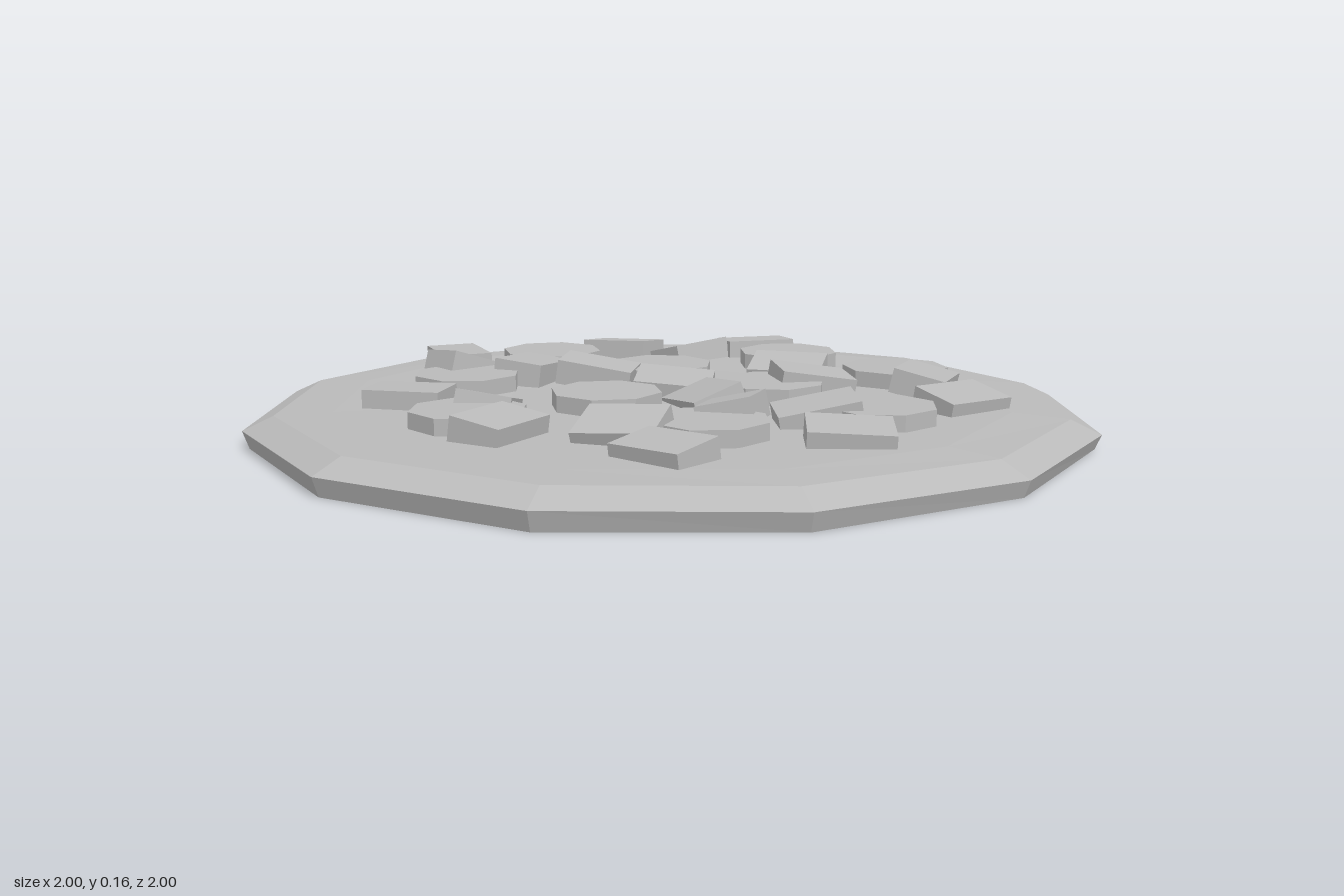
import * as THREE from 'three';

export function createModel() {
  const model = new THREE.Group();
  const grey = new THREE.MeshStandardMaterial({ color: 0xbababa, flatShading: true });
  grey.name = 'plain grey';

  const UP = new THREE.Vector3(0, 1, 0);

  // Places a part by the centre of its top face, a yaw in degrees and a slope (rise along x and z)
  function place(name, geometry, x, y, z, yaw, gx = 0, gz = 0) {
    const mesh = new THREE.Mesh(geometry, grey);
    mesh.name = name;
    const normal = new THREE.Vector3(-gx, 1, -gz).normalize();
    mesh.quaternion.setFromUnitVectors(UP, normal)
      .multiply(new THREE.Quaternion().setFromAxisAngle(UP, THREE.MathUtils.degToRad(yaw)));
    mesh.position.set(x, y, z);
    model.add(mesh);
  }

  // Twelve-sided base with a slightly uneven rim
  const profile = [[0, 0], [0.985, 0], [1, 0.036], [0.93, 0.068], [0.8, 0.075], [0.4, 0.073], [0, 0.072]];
  const base = new THREE.LatheGeometry(profile.map(([r, y]) => new THREE.Vector2(r, y)), 12);
  const p = base.attributes.position;
  for (let i = 0; i < p.count; i++) {
    const x = p.getX(i), y = p.getY(i), z = p.getZ(i);
    if (y > 0.01 && Math.hypot(x, z) > 0.85) {
      const lean = (x - z) / Math.SQRT2;
      p.setY(i, y - 0.008 * lean);
    }
  }
  const baseMesh = new THREE.Mesh(base, grey);
  baseMesh.name = 'base';
  model.add(baseMesh);

  // Round eight-sided slices: x, z, yaw
  const slice = new THREE.CylinderGeometry(0.132, 0.132, 0.06, 8).translate(0, -0.03, 0);
  [
    [-0.19, -0.55, 22], [-0.46, -0.24, 10], [0.04, -0.26, 3], [0.42, -0.37, 12], [0.6, -0.06, 20],
    [0.23, 0.06, 0], [-0.18, 0.085, 18], [-0.52, 0.22, 5], [-0.04, 0.465, 10], [0.365, 0.41, 3],
  ].forEach(([x, z, yaw]) => place('roundSlice', slice, x, 0.112, z, yaw));

  // Tumbled rectangular chunks: x, z, top height, yaw, slope x, slope z
  const chunk = new THREE.BoxGeometry(0.185, 0.06, 0.127).translate(0, -0.03, 0);
  [
    [-0.435, -0.597, 0.115, 98, 0, 0],
    [-0.43, -0.38, 0.125, 26, -0.26, 0.24],
    [-0.28, -0.31, 0.128, 54, -0.12, 0],
    [-0.13, -0.215, 0.13, -25, -0.12, -0.1],
    [0.03, -0.637, 0.118, -40, -0.03, 0.1],
    [0.19, -0.56, 0.11, 27, 0.15, 0.2],
    [0.395, -0.582, 0.115, 0, 0, 0.06],
    [0.345, -0.155, 0.12, -30, 0.12, -0.22],
    [-0.62, -0.045, 0.118, -27, 0, 0],
    [-0.45, 0.08, 0.115, -108, -0.22, 0.15],
    [0.02, -0.05, 0.115, -22, 0, -0.2],
    [0.035, 0.125, 0.11, -80, 0.35, 0.05],
    [0.345, 0.04, 0.13, -3, -0.15, -0.08],
    [0.62, 0.095, 0.125, 54, -0.2, -0.1],
    [0.605, 0.33, 0.115, 20, -0.08, -0.18],
    [-0.47, 0.365, 0.122, 45, -0.1, -0.1],
    [-0.235, 0.465, 0.122, -34, 0.24, -0.24],
    [0.045, 0.33, 0.128, 62, 0.16, 0.18],
    [0.22, 0.395, 0.122, -10, 0.2, -0.05],
    [0.22, 0.61, 0.115, -17, 0, -0.14],
    [-0.19, 0.645, 0.112, -56, 0.12, -0.05],
  ].forEach(([x, z, y, yaw, gx, gz]) => place('chunk', chunk, x, y, z, yaw, gx, gz));

  return model;
}
